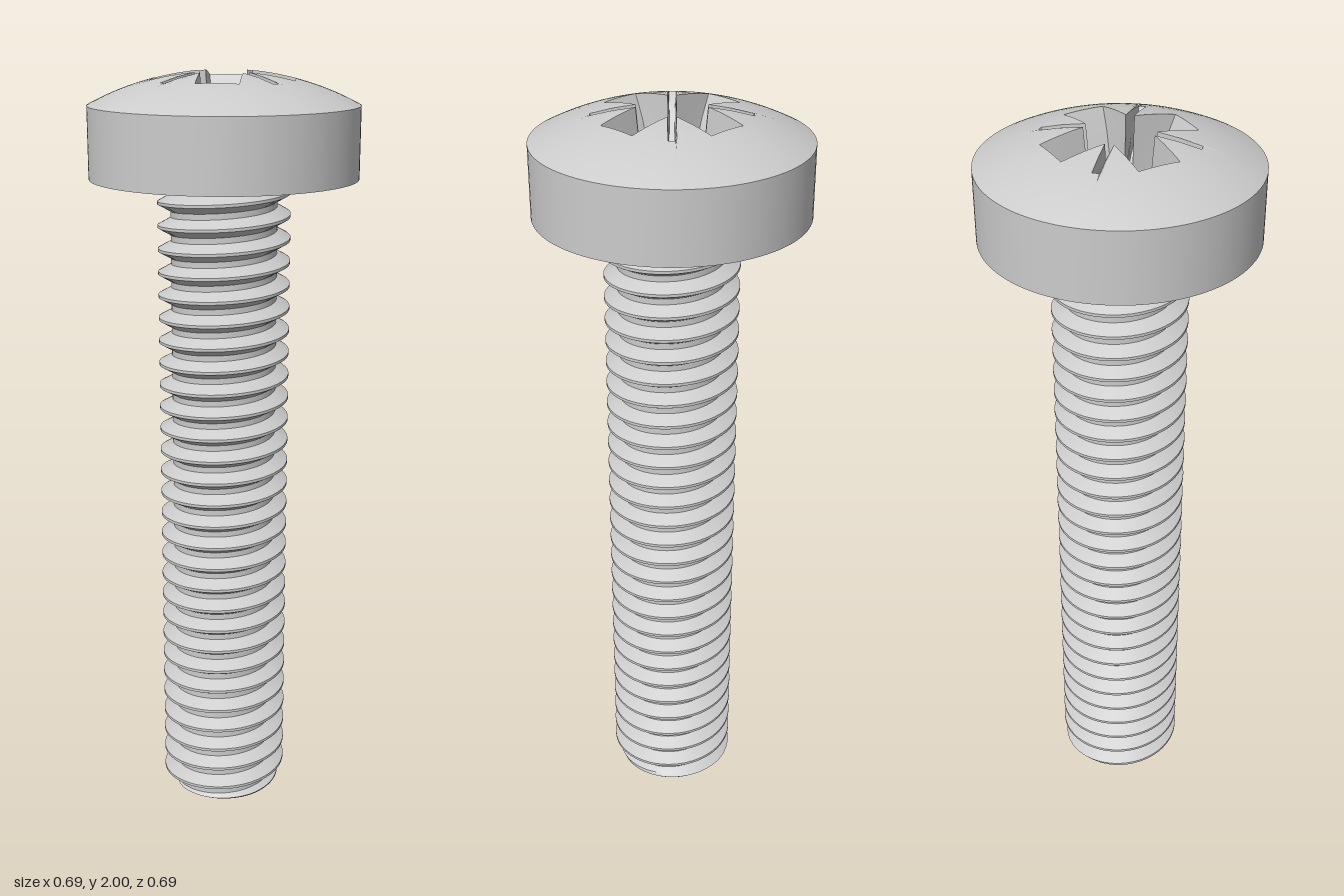
import * as THREE from 'three';
import { toCreasedNormals } from 'three/addons/utils/BufferGeometryUtils.js';

const V = (x, y, z) => new THREE.Vector3(x, y, z);
const HEAD_BASE = 1.735, RIM_Y = 1.917, HEAD_R = 0.345;
const PITCH = 0.0606, MAJOR = 0.172, MINOR = 0.138;

// Skin a list of rows of points (rows run bottom to top, columns counter-clockwise from above)
function loft(rows, crease) {
  const pos = [];
  const ab = V(), ac = V();
  const tri = (a, b, c) => {
    ab.subVectors(b, a);
    ac.subVectors(c, a);
    if (ab.cross(ac).length() > 1e-10) for (const p of [a, b, c]) pos.push(p.x, p.y, p.z);
  };
  for (let i = 0; i < rows.length - 1; i++) {
    for (let j = 0; j < rows[i].length - 1; j++) {
      const a = rows[i][j], b = rows[i][j + 1], c = rows[i + 1][j + 1], d = rows[i + 1][j];
      tri(a, b, c);
      tri(a, c, d);
    }
  }
  const geo = new THREE.BufferGeometry();
  geo.setAttribute('position', new THREE.Float32BufferAttribute(pos, 3));
  return toCreasedNormals(geo, crease);
}

// Helical thread with a chamfered tip and a fillet under the head
function threadGeometry() {
  const SEG = 72, PHASE = 0.77;
  const steps = [0, 0.125, 0.28, 0.4375, 0.56, 0.6875, 0.84];
  const radius = (y, turn) => {
    let f = y / PITCH - turn - PHASE;
    f -= Math.floor(f + 1e-7);
    let t = 0;                                     // 1 on the crest, 0 in the root
    if (f < 0.125) t = 1;
    else if (f < 0.4375) t = (0.4375 - f) / 0.3125;
    else if (f > 0.6875) t = (f - 0.6875) / 0.3125;
    let r = Math.min(MINOR + (MAJOR - MINOR) * t, 0.146 + y);
    const fillet = 0.035, h = y - (HEAD_BASE - fillet);
    if (h > 0) r = Math.max(r, MINOR + fillet - Math.sqrt(Math.max(0, fillet * fillet - h * h)));
    return r;
  };
  const row = (base) => Array.from({ length: SEG + 1 }, (_, j) => {
    const turn = j / SEG, a = turn * Math.PI * 2;
    const y = THREE.MathUtils.clamp(PITCH * (base + turn + PHASE), 0, HEAD_BASE);
    const r = radius(y, turn);
    return V(r * Math.sin(a), y, r * Math.cos(a));
  });
  const rows = [Array.from({ length: SEG + 1 }, () => V(0, 0, 0))];
  for (let k = -3; k < HEAD_BASE / PITCH + 1; k++) for (const s of steps) rows.push(row(k + s));
  return loft(rows, 0.6);
}

// Height of the domed top
const DOME_TOP = 2.003;
const DOME_R = (HEAD_R ** 2 + (DOME_TOP - RIM_Y) ** 2) / (2 * (DOME_TOP - RIM_Y));
const domeY = (r) => DOME_TOP - DOME_R + Math.sqrt(DOME_R ** 2 - r * r);

// One level of the recess: a quarter given by arm corner, slit root and slit tip,
// mirrored about the diagonal, repeated four times and subdivided
function recessRing(arm, root, tip) {
  const swap = (p) => V(p.z, p.y, p.x);
  const corners = [];
  for (let k = 0; k < 4; k++) {
    for (const p of [arm, root, tip, swap(tip), swap(root), swap(arm)]) {
      corners.push(p.clone().applyAxisAngle(V(0, 1, 0), k * Math.PI / 2));
    }
  }
  const divisions = [8, 2, 2, 2, 8, 12];
  const ring = [];
  corners.forEach((p, i) => {
    const q = corners[(i + 1) % corners.length], n = divisions[i % 6];
    for (let s = 0; s < n; s++) ring.push(p.clone().lerp(q, s / n));
  });
  ring.push(ring[0].clone());
  return ring;
}

// Pan head with a cross recess and four diagonal slits
function headGeometry() {
  const FLOOR = 1.84;
  const diag = (r, w) => V(r * Math.SQRT1_2 - w, 0, r * Math.SQRT1_2 + w);
  const at = (p, y) => V(p.x, y, p.z);
  const top = recessRing(V(0.053, 0, 0.18), V(0.053, 0, 0.068), diag(0.195, 0.006));
  top.forEach((p) => { p.y = domeY(Math.hypot(p.x, p.z)); });
  const middle = recessRing(V(0.049, 1.925, 0.153), V(0.049, 1.925, 0.063), at(diag(0.172, 0.005), 1.93));
  const bottom = recessRing(V(0.042, FLOOR, 0.12), V(0.046, FLOOR, 0.06), at(diag(0.078, 0.003), FLOOR));

  const circle = (r, y, ref) => ref.map((p) => {
    const l = Math.hypot(p.x, p.z);
    return V(p.x / l * r, y, p.z / l * r);
  });
  const rows = [circle(0.1, HEAD_BASE, top), circle(HEAD_R, HEAD_BASE, top)];
  const rim = circle(HEAD_R, RIM_Y, top);
  const RINGS = 10;
  for (let i = 0; i <= RINGS; i++) {
    rows.push(rim.map((p, j) => {
      const q = p.clone().lerp(top[j], i / RINGS);
      q.y = domeY(Math.hypot(q.x, q.z));
      return q;
    }));
  }
  // recess walls, floor and conical centre
  rows.push(middle, bottom, circle(0.077, FLOOR, bottom), bottom.map(() => V(0, FLOOR - 0.03, 0)));
  return loft(rows, 0.35);
}

export function createModel() {
  const model = new THREE.Group();
  model.name = 'screw';
  const material = new THREE.MeshStandardMaterial({ color: 0xcccccc });
  const add = (name, geometry) => {
    const mesh = new THREE.Mesh(geometry, material);
    mesh.name = name;
    model.add(mesh);
  };
  add('threadedShank', threadGeometry());
  add('head', headGeometry());
  return model;
}
